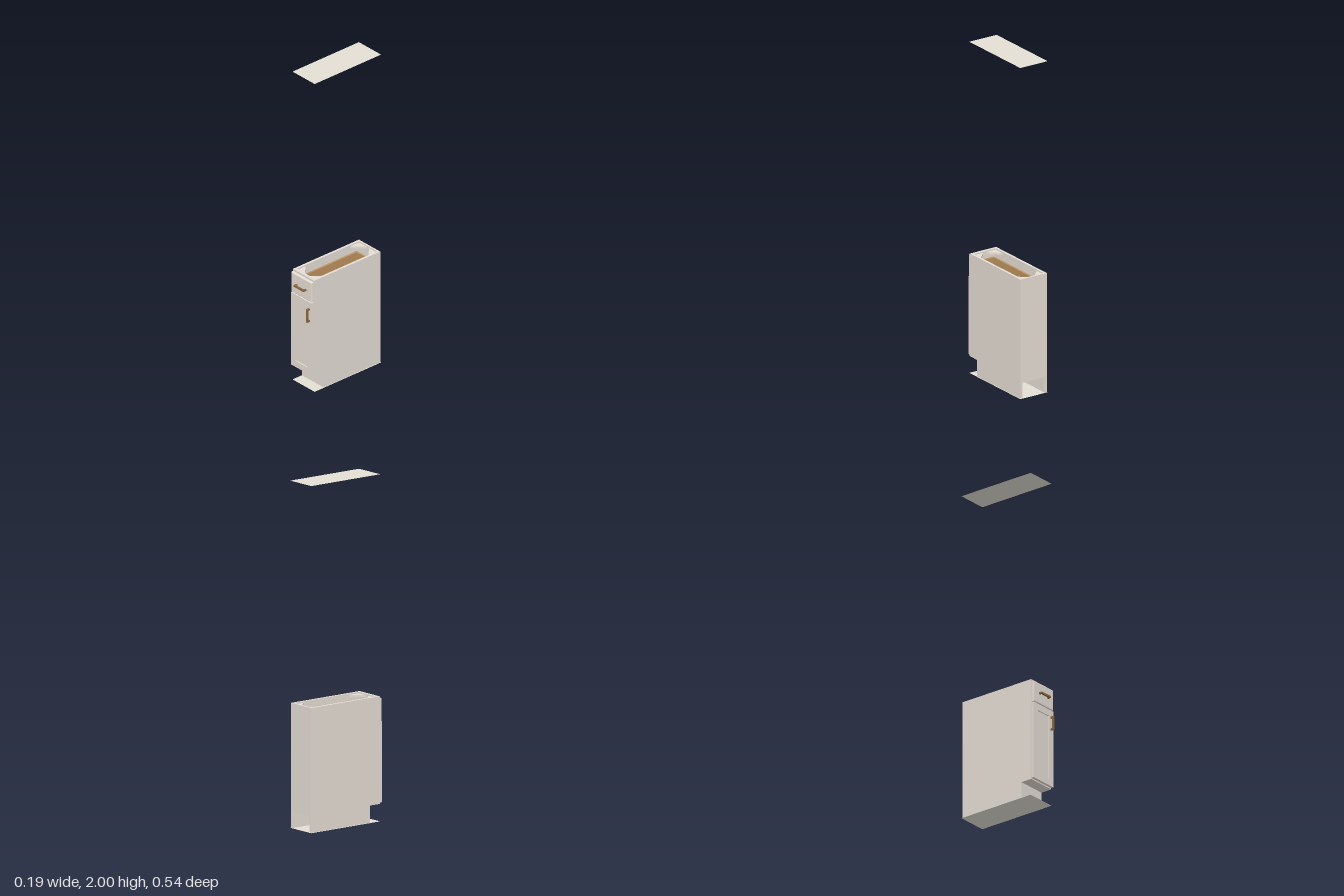
import * as THREE from 'three';

const X = 0.0905, H = 0.72, BACK = -0.267, FRONT = 0.23, KICK_Z = 0.16, KICK_H = 0.1, T = 0.015;
const SHEET_W = 0.188, SHEET_BACK = -0.27;

const paint = new THREE.MeshStandardMaterial({ color: 0xe4ddd4 });
paint.name = 'cabinetPaint';
const sheet = new THREE.MeshStandardMaterial({ color: 0xe4dfd4, side: THREE.DoubleSide });
sheet.name = 'sheetGrey';
const wood = new THREE.MeshStandardMaterial({ color: 0xbd915e });
wood.name = 'drawerWood';
const bronze = new THREE.MeshStandardMaterial({ color: 0x8b693f });
bronze.name = 'handleBronze';

function add(parent, name, geometry, material) {
  const mesh = new THREE.Mesh(geometry, material);
  mesh.name = name;
  parent.add(mesh);
  return mesh;
}

// Box given by its lower and upper limits on each axis
function box(parent, name, material, x0, x1, y0, y1, z0, z1) {
  const mesh = add(parent, name, new THREE.BoxGeometry(x1 - x0, y1 - y0, z1 - z0), material);
  mesh.position.set((x0 + x1) / 2, (y0 + y1) / 2, (z0 + z1) / 2);
  return mesh;
}

function polygon(points) {
  return new THREE.Shape(points.map(([x, y]) => new THREE.Vector2(x, y)));
}

function rect(x0, x1, y0, y1) {
  return polygon([[x0, y0], [x1, y0], [x1, y1], [x0, y1]]);
}

// Bar pull: two posts and a grip, centred on the origin, running along x
function makeHandle(name) {
  const g = new THREE.Group();
  g.name = name;
  box(g, 'grip', bronze, -0.042, 0.042, -0.0055, 0.0055, 0.012, 0.022);
  for (const s of [-1, 1]) {
    const post = box(g, 'post', bronze, -0.005, 0.005, -0.0055, 0.0055, 0, 0.012);
    post.position.x = s * 0.037;
  }
  return g;
}

export function createModel() {
  const model = new THREE.Group();
  model.name = 'baseCabinet';

  // Side panels, notched at the toe kick
  const profile = polygon([
    [-BACK, 0.001], [-BACK, H], [-FRONT, H], [-FRONT, KICK_H], [-KICK_Z, KICK_H], [-KICK_Z, 0.001],
  ]);
  for (const x of [-X, X - T]) {
    const geo = new THREE.ExtrudeGeometry(profile, { depth: T, bevelEnabled: false });
    geo.rotateY(Math.PI / 2);
    add(model, 'sidePanel', geo, paint).position.x = x;
  }

  // Carcass: the back stops above the floor
  const xi = X - T;
  box(model, 'backPanel', paint, -xi, xi, KICK_H - 0.006, H, BACK, BACK + 0.012);
  box(model, 'bottomPanel', paint, -xi, xi, KICK_H, KICK_H + 0.012, BACK + 0.012, FRONT);
  box(model, 'toeKick', paint, -xi, xi, 0.001, KICK_H, KICK_Z - 0.012, KICK_Z);

  // Front rails behind the drawer and door
  for (const [y0, y1] of [[0.69, H], [0.565, 0.595], [KICK_H + 0.012, 0.125]]) {
    box(model, 'frontRail', paint, -xi, xi, y0, y1, FRONT - 0.018, FRONT);
  }

  // Triangular corner braces under the open top
  for (const sx of [-1, 1]) {
    for (const [z, sz] of [[FRONT - 0.018, -1], [BACK + 0.012, 1]]) {
      const s = polygon([[sx * xi, -z], [sx * (xi - 0.065), -z], [sx * xi, -(z + sz * 0.065)]]);
      const geo = new THREE.ExtrudeGeometry(s, { depth: 0.012, bevelEnabled: false });
      geo.rotateX(-Math.PI / 2);
      add(model, 'cornerBrace', geo, paint).position.y = 0.7;
    }
  }

  // Wooden drawer box
  const drawer = new THREE.Group();
  drawer.name = 'drawerBox';
  model.add(drawer);
  box(drawer, 'drawerBottom', wood, -0.062, 0.062, 0.6, 0.608, -0.225, 0.21);
  for (const s of [-1, 1]) {
    box(drawer, 'drawerSide', wood, s * 0.056 - 0.006, s * 0.056 + 0.006, 0.608, 0.675, -0.225, 0.21);
  }
  for (const z of [-0.225, 0.198]) {
    box(drawer, 'drawerEnd', wood, -0.05, 0.05, 0.608, 0.675, z, z + 0.012);
  }

  // Drawer front with an eased edge
  const frontGeo = new THREE.ExtrudeGeometry(rect(-0.088, 0.088, 0.581, 0.709), {
    depth: 0.011, bevelThickness: 0.006, bevelSize: 0.006, bevelOffset: -0.006, bevelSegments: 4,
  });
  add(model, 'drawerFront', frontGeo, paint).position.z = FRONT;

  // Framed door with a recessed panel
  const frame = rect(-0.088, 0.088, 0.107, 0.577);
  frame.holes.push(rect(-0.049, 0.049, 0.147, 0.537));
  const frameGeo = new THREE.ExtrudeGeometry(frame, { depth: 0.017, bevelEnabled: false });
  add(model, 'doorFrame', frameGeo, paint).position.z = FRONT;
  box(model, 'doorPanel', paint, -0.049, 0.049, 0.147, 0.537, FRONT, FRONT + 0.01);

  // Handles
  const drawerHandle = makeHandle('drawerHandle');
  drawerHandle.position.set(0, 0.645, 0.246);
  const doorHandle = makeHandle('doorHandle');
  doorHandle.rotation.z = Math.PI / 2;
  doorHandle.position.set(0.0675, 0.495, 0.246);
  model.add(drawerHandle, doorHandle);

  // Flat sheets at floor level and high above the cabinet
  for (const [name, y] of [['floorSheet', 0], ['upperSheet', 2]]) {
    const geo = new THREE.PlaneGeometry(SHEET_W, FRONT - SHEET_BACK).rotateX(-Math.PI / 2);
    add(model, name, geo, sheet).position.set(0, y, (FRONT + SHEET_BACK) / 2);
  }
  return model;
}
